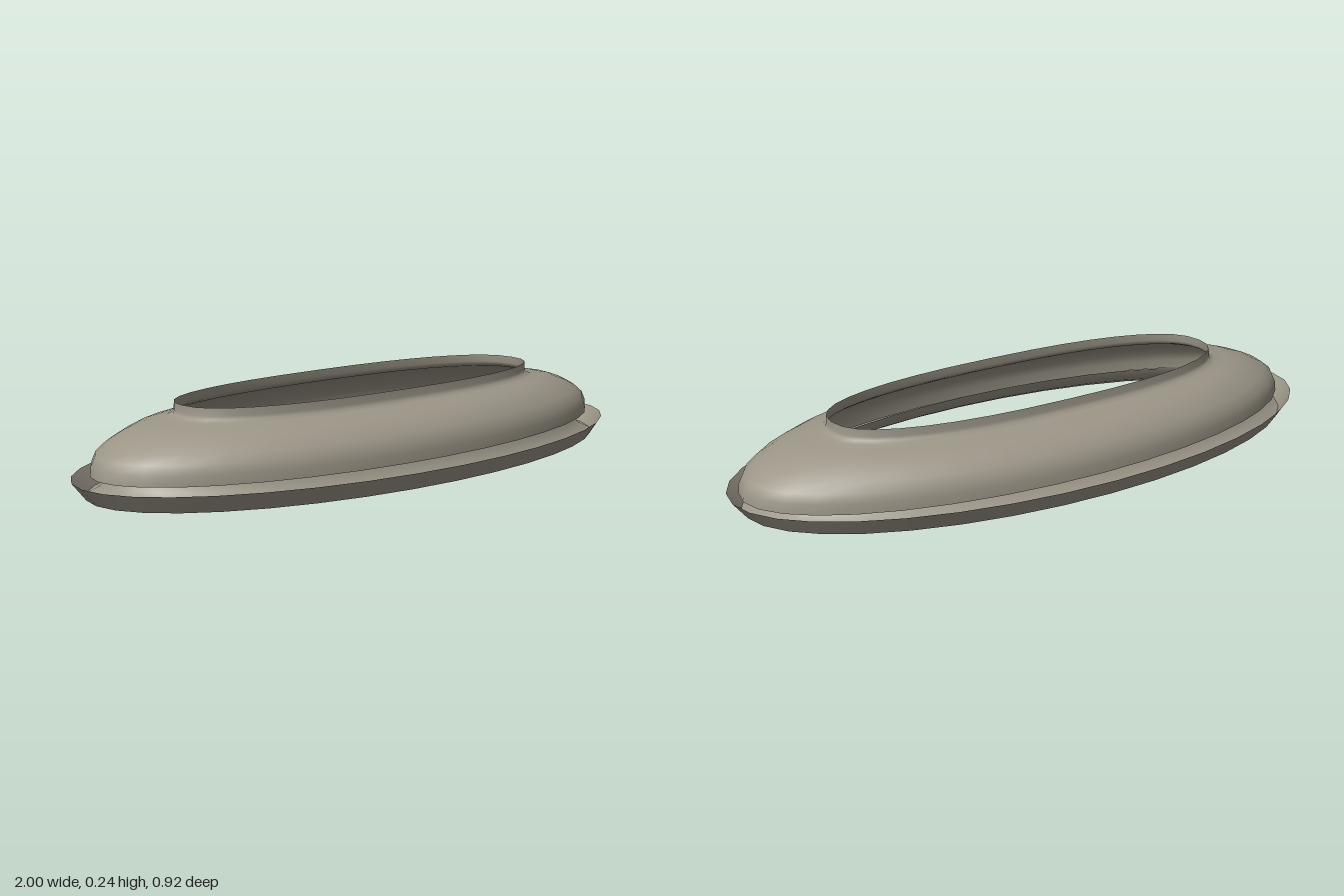
import * as THREE from 'three';

const SEGMENTS = 36;

// Skin through closed oval rows; each row is [radius x, radius z, height, squareness]
function loft(rows) {
  const pos = [], index = [];
  const power = (v, n) => Math.sign(v) * Math.pow(Math.abs(v), 2 / n);
  rows.forEach(([rx, rz, y, n = 2], i) => {
    for (let j = 0; j < SEGMENTS; j++) {
      const t = (j / SEGMENTS) * Math.PI * 2;
      pos.push(rx * power(Math.cos(t), n), y, rz * power(Math.sin(t), n));
      if (i === rows.length - 1) continue;
      const a = i * SEGMENTS + j, b = i * SEGMENTS + (j + 1) % SEGMENTS;
      index.push(a, a + SEGMENTS, b, b, a + SEGMENTS, b + SEGMENTS);
    }
  });
  const geo = new THREE.BufferGeometry();
  geo.setAttribute('position', new THREE.Float32BufferAttribute(pos, 3));
  geo.setIndex(index);
  geo.computeVertexNormals();
  return geo;
}

export function createModel() {
  const group = new THREE.Group();
  const stone = new THREE.MeshStandardMaterial({ color: 0x9c9688, side: THREE.DoubleSide });
  stone.name = 'warmGrey';

  const addPart = (name, rows) => {
    const mesh = new THREE.Mesh(loft(rows), stone);
    mesh.name = name;
    group.add(mesh);
    return mesh;
  };

  // Open gutter under the shell: a flared outer lip and a sloping inner wall
  addPart('baseRingOuterLip', [[0.957, 0.43, 0], [1, 0.46, 0.053]]);
  addPart('baseRingInnerWall', [
    [0.88, 0.36, 0.063], [0.892, 0.37, 0.04], [0.917, 0.393, 0.018], [0.957, 0.43, 0],
  ]);

  // Rounded open shell, set slightly off centre on the ring
  const shell = addPart('roundedShell', [
    [0.955, 0.387, 0.06], [0.952, 0.386, 0.09], [0.938, 0.38, 0.117],
    [0.905, 0.365, 0.142], [0.855, 0.34, 0.166], [0.8, 0.307, 0.184, 2.1],
    [0.745, 0.27, 0.194, 2.2], [0.695, 0.236, 0.2, 2.4],
    [0.677, 0.225, 0.208, 2.4], [0.673, 0.222, 0.218, 2.4], [0.672, 0.221, 0.241, 2.4],
  ]);
  shell.position.set(0.02, 0, -0.02);

  return group;
}
